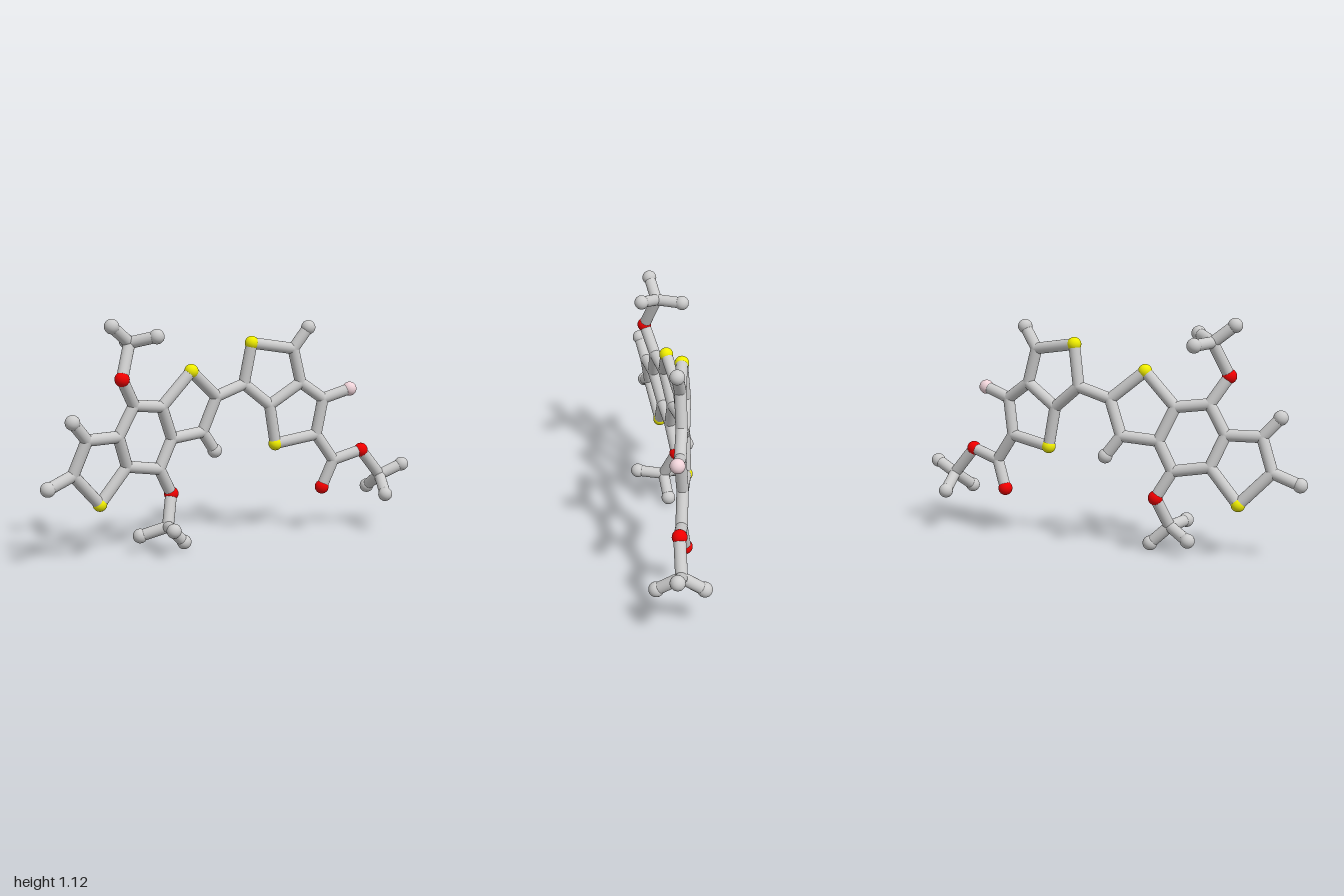
import * as THREE from 'three';

const STICK_R = 0.028;
const BALL_R = 0.035;
const grey = new THREE.MeshStandardMaterial({ color: 0xcccccc });
const yellow = new THREE.MeshStandardMaterial({ color: 0xf0ee00 });
const red = new THREE.MeshStandardMaterial({ color: 0xf00000 });
const pink = new THREE.MeshStandardMaterial({ color: 0xf0d4da });

// Atom kinds: carbon is only a rounded joint, the others are visible balls
const KINDS = {
  C: { name: 'carbonJoint', radius: STICK_R, material: grey },
  H: { name: 'hydrogenBall', radius: BALL_R, material: grey },
  S: { name: 'sulfurBall', radius: 0.034, material: yellow },
  O: { name: 'oxygenBall', radius: BALL_R, material: red },
  F: { name: 'fluorineBall', radius: BALL_R, material: pink },
};

// Each part lists its atoms; the first letter of a key is the kind
const PARTS = {
  leftRing: {
    S1: [-0.69, 0.265, -0.04], C1: [-0.84, 0.42, 0], C2: [-0.78, 0.58, 0.025],
    H1: [-0.97, 0.37, 0.015], H2: [-0.86, 0.67, 0.05],
  },
  middleRing: {
    C3: [-0.61, 0.58, 0], C4: [-0.53, 0.72, 0], C5: [-0.37, 0.70, -0.03],
    C6: [-0.30, 0.54, -0.065], C7: [-0.37, 0.40, -0.06], C8: [-0.55, 0.43, -0.04],
  },
  upperMethoxy: {
    O1: [-0.61, 0.85, 0.045], C9: [-0.545, 1.01, -0.01], H3: [-0.645, 1.09, 0.015],
    H4: [-0.445, 1.04, 0.073], H5: [-0.50, 1.005, -0.133],
  },
  lowerMethoxy: {
    O2: [-0.295, 0.27, -0.085], C10: [-0.345, 0.125, -0.025], H6: [-0.46, 0.08, -0.09],
    H7: [-0.25, 0.037, -0.04], H8: [-0.38, 0.132, 0.105],
  },
  innerRing: {
    S2: [-0.215, 0.86, -0.025], C11: [-0.055, 0.725, -0.07],
    C12: [-0.12, 0.555, -0.09], H9: [-0.045, 0.455, -0.105],
  },
  rightUpperRing: {
    C13: [0.105, 0.775, -0.08], S3: [0.137, 0.975, -0.06], C14: [0.355, 0.94, -0.028],
    H10: [0.427, 1.043, -0.006], C15: [0.40, 0.77, -0.03], C16: [0.24, 0.665, -0.06],
  },
  rightLowerRing: {
    S4: [0.275, 0.47, -0.063], C17: [0.49, 0.505, -0.025],
    C18: [0.52, 0.685, -0.01], F1: [0.66, 0.728, 0.018],
  },
  ester: {
    C19: [0.585, 0.37, -0.01], O3: [0.533, 0.233, -0.033], O4: [0.735, 0.412, 0.016],
    C20: [0.85, 0.275, 0.02], H11: [0.965, 0.325, 0.05], H12: [0.81, 0.195, 0.128],
    H13: [0.845, 0.202, -0.085],
  },
};

// Bond chains: every neighbouring pair in a chain gets a stick
const CHAINS = [
  'C3 C2 C1 S1 C8', 'H1 C1', 'H2 C2',
  'C3 C4 C5 C6 C7 C8 C3',
  'C4 O1 C9 H3', 'H4 C9 H5',
  'C7 O2 C10 H6', 'H7 C10 H8',
  'C5 S2 C11 C12 C6', 'C12 H9', 'C11 C13',
  'C13 S3 C14 C15 C16 C13', 'C14 H10',
  'C16 S4 C17 C18 C15', 'C18 F1',
  'C17 C19 O3', 'C19 O4 C20 H11', 'H12 C20 H13',
];

function makeStick(a, b) {
  const dir = b.clone().sub(a);
  const geo = new THREE.CylinderGeometry(STICK_R, STICK_R, dir.length(), 20, 1, true);
  const mesh = new THREE.Mesh(geo, grey);
  mesh.name = 'bondStick';
  mesh.position.copy(a).lerp(b, 0.5);
  mesh.quaternion.setFromUnitVectors(new THREE.Vector3(0, 1, 0), dir.normalize());
  return mesh;
}

export function createModel() {
  const model = new THREE.Group();
  model.name = 'molecule';
  const atoms = {};

  // Balls and joints, grouped by part
  for (const [partName, list] of Object.entries(PARTS)) {
    const part = new THREE.Group();
    part.name = partName;
    for (const [key, p] of Object.entries(list)) {
      const kind = KINDS[key[0]];
      const ball = new THREE.Mesh(new THREE.SphereGeometry(kind.radius, 24, 16), kind.material);
      ball.name = kind.name;
      ball.position.set(...p);
      atoms[key] = ball.position;
      part.add(ball);
    }
    model.add(part);
  }

  // Sticks between bonded atoms
  const bonds = new THREE.Group();
  bonds.name = 'bonds';
  for (const chain of CHAINS) {
    const keys = chain.split(' ');
    for (let i = 1; i < keys.length; i++) {
      bonds.add(makeStick(atoms[keys[i - 1]], atoms[keys[i]]));
    }
  }
  model.add(bonds);
  return model;
}
